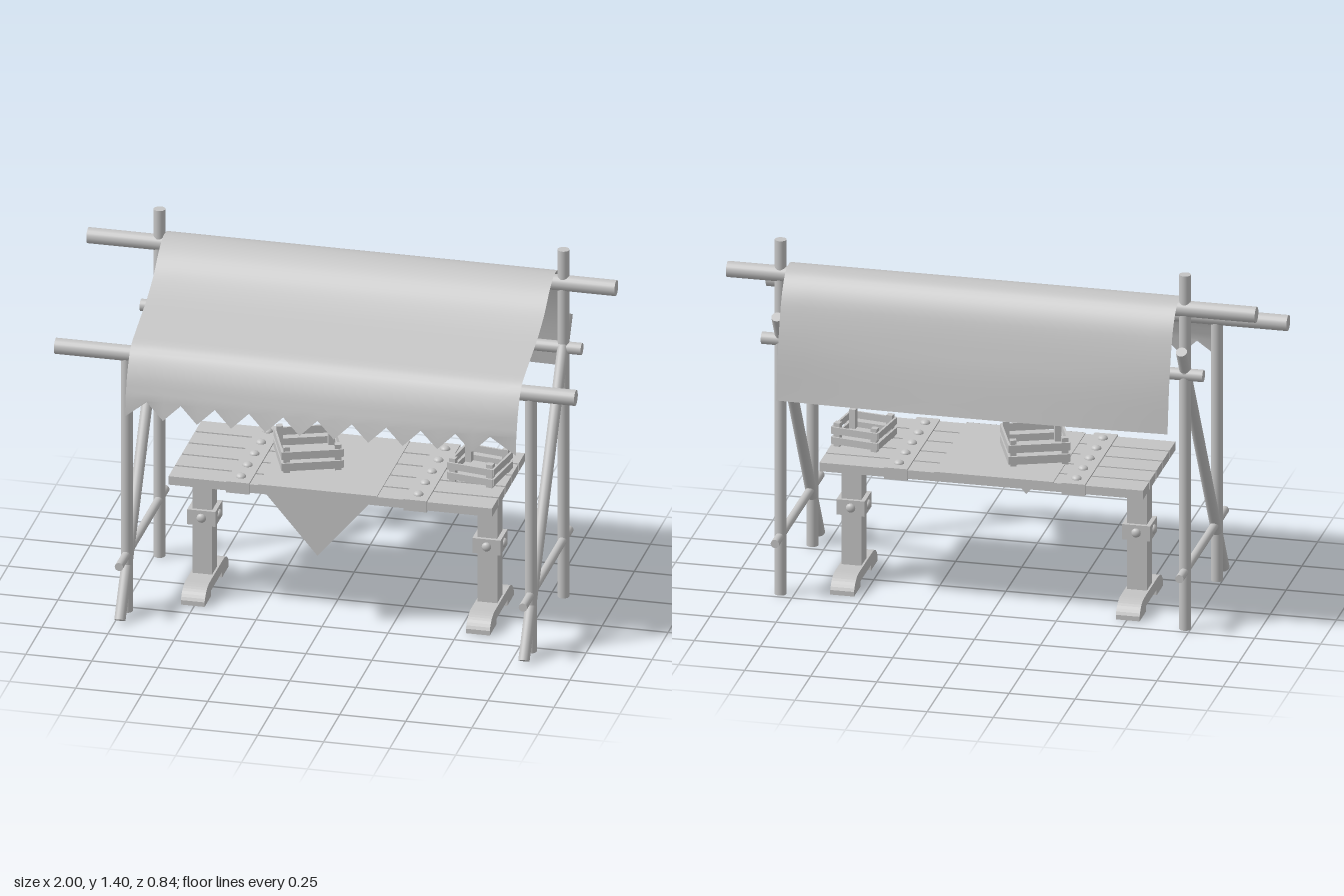
import * as THREE from 'three';

const plain = new THREE.MeshStandardMaterial({ color: 0xc4c4c4 });
plain.name = 'plain grey';
plain.side = THREE.DoubleSide;

function add(parent, geometry, name, x = 0, y = 0, z = 0) {
  const mesh = new THREE.Mesh(geometry, plain);
  mesh.name = name;
  mesh.position.set(x, y, z);
  parent.add(mesh);
  return mesh;
}
const box = (parent, name, w, h, d, x, y, z) => add(parent, new THREE.BoxGeometry(w, h, d), name, x, y, z);

// Round pole between two points
function pole(parent, name, from, to, r) {
  const a = new THREE.Vector3(...from), b = new THREE.Vector3(...to);
  const dir = b.clone().sub(a);
  const mesh = add(parent, new THREE.CylinderGeometry(r, r, dir.length(), 20), name);
  mesh.position.copy(a).lerp(b, 0.5);
  mesh.quaternion.setFromUnitVectors(new THREE.Vector3(0, 1, 0), dir.normalize());
}

// Low domed rivet, pointing along +y before rotation
function rivet(parent, r, x, y, z) {
  const geo = new THREE.SphereGeometry(r, 14, 5, 0, Math.PI * 2, 0, Math.PI / 2);
  geo.scale(1, 0.7, 1);
  return add(parent, geo, 'rivet', x, y, z);
}

function frame() {
  const g = new THREE.Group();
  g.name = 'poleFrame';
  for (const x of [-0.73, 0.8]) {
    pole(g, 'frontPost', [x, 0.015, 0.285], [x, 1.05, 0.285], 0.022);
    pole(g, 'backPost', [x, 0.015, -0.22], [x, 1.415, -0.22], 0.022);
    pole(g, 'diagonalBrace', [x, 0.024, 0.395], [x, 1.13, -0.277], 0.021);
    pole(g, 'sideRail', [x, 0.245, 0.41], [x, 0.245, -0.31], 0.016);
  }
  pole(g, 'frontBeam', [-1, 1.055, 0.285], [0.97, 1.055, 0.285], 0.03);
  pole(g, 'ridgeBeam', [-1, 1.28, -0.22], [1, 1.28, -0.22], 0.03);
  pole(g, 'backRail', [-0.8, 1.02, -0.22], [0.87, 1.02, -0.22], 0.023);
  return g;
}

// Draped sheet swept along x, with a zigzag front hem
function canopy() {
  const profile = [
    [0.39, 0.92], [0.36, 1.015], [0.31, 1.09], [0.22, 1.125], [0.05, 1.178], [-0.05, 1.228],
    [-0.13, 1.288], [-0.2, 1.318], [-0.265, 1.308], [-0.32, 1.25], [-0.36, 1.15], [-0.39, 1.03], [-0.415, 0.855],
  ];
  const curve = new THREE.CatmullRomCurve3(profile.map(([z, y]) => new THREE.Vector3(0, y, z)));
  const line = curve.getPoints(48);
  const cols = 22, rows = line.length;
  const geo = new THREE.PlaneGeometry(1, 1, cols, rows);
  const pos = geo.attributes.position;
  for (let j = 0; j <= rows; j++) {
    for (let i = 0; i <= cols; i++) {
      const x = i === 0 ? -0.71 : i === cols ? 0.77 : -0.695 + 0.065 * i;
      const bow = 1 - ((x - 0.03) / 0.74) ** 2;
      let y, z;
      if (j === rows) {
        // hem: alternate tips and notches
        y = i % 2 ? 0.912 : 0.85;
        z = (i % 2 ? 0.385 : 0.398) + 0.018 * bow;
      } else {
        const p = line[rows - 1 - j];
        const drop = Math.max(0, (1.1 - p.y) / 0.25);
        y = p.y;
        z = p.z + Math.sign(p.z) * 0.014 * bow * drop;
      }
      pos.setXYZ(j * (cols + 1) + i, x, y, z);
    }
  }
  geo.computeVertexNormals();
  const g = new THREE.Group();
  g.name = 'canopy';
  add(g, geo, 'canopySheet');
  return g;
}

// Trestle leg with collar and arched foot
function leg(x) {
  const g = new THREE.Group();
  g.name = 'trestleLeg';
  box(g, 'legPost', 0.075, 0.46, 0.08, 0, 0.3, 0);
  box(g, 'legCollar', 0.107, 0.06, 0.107, 0, 0.31, 0);
  for (let k = 0; k < 4; k++) {
    const a = k * Math.PI / 2;
    const stud = rivet(g, 0.018, Math.sin(a) * 0.0535, 0.31, Math.cos(a) * 0.0535);
    stud.quaternion.setFromUnitVectors(new THREE.Vector3(0, 1, 0), new THREE.Vector3(Math.sin(a), 0, Math.cos(a)));
  }
  const s = new THREE.Shape();
  s.moveTo(-0.187, 0.015);
  s.lineTo(-0.085, 0.015);
  s.lineTo(-0.085, 0.037);
  s.lineTo(0.085, 0.037);
  s.lineTo(0.085, 0.015);
  s.lineTo(0.187, 0.015);
  s.lineTo(0.187, 0.033);
  s.quadraticCurveTo(0.165, 0.08, 0.105, 0.08);
  s.lineTo(-0.105, 0.08);
  s.quadraticCurveTo(-0.165, 0.08, -0.187, 0.033);
  const geo = new THREE.ExtrudeGeometry(s, { depth: 0.09, bevelEnabled: false, curveSegments: 8 });
  geo.translate(0, 0, -0.045);
  geo.rotateY(Math.PI / 2);
  add(g, geo, 'legFoot');
  g.position.x = x;
  return g;
}

function table() {
  const g = new THREE.Group();
  g.name = 'table';
  // Planks
  for (let k = -2; k <= 2; k++) box(g, 'plank', 1.225, 0.034, 0.094, 0.0325, 0.543, k * 0.104);
  // Riveted cross straps
  for (const x of [-0.317, 0.355]) {
    box(g, 'crossStrap', 0.088, 0.045, 0.524, x, 0.5435, 0);
    for (let k = -2; k <= 2; k++) rivet(g, 0.019, x, 0.566, k * 0.104);
  }
  g.add(leg(-0.505), leg(0.575));

  // Cloth over the middle, with a hanging point at the front
  box(g, 'clothTop', 0.45, 0.004, 0.514, -0.015, 0.562, 0);
  const flap = new THREE.Shape([[-0.24, 0.564], [-0.015, 0.3], [0.21, 0.564]].map(p => new THREE.Vector2(...p)));
  add(g, new THREE.ShapeGeometry(flap), 'clothFlap', 0, 0, 0.258);
  return g;
}

// Slatted open crate; half is its half width
function crate(half, height, x, z, turn) {
  const g = new THREE.Group();
  g.name = 'crate';
  const post = 0.024, inset = half - 0.008 - post / 2;
  box(g, 'crateFloor', half * 1.8, 0.01, half * 1.8, 0, 0.012, 0);
  for (const sx of [-1, 1]) for (const sz of [-1, 1])
    box(g, 'cratePost', post, height, post, sx * inset, height / 2, sz * inset);
  for (let k = 0; k < 4; k++) {
    const side = new THREE.Group();
    side.name = 'crateSide';
    side.rotation.y = k * Math.PI / 2;
    for (const y of [0.27, 0.7])
      box(side, 'crateSlat', half * 2 - 0.008, height * 0.29, 0.008, 0, height * y, half - 0.004);
    g.add(side);
  }
  g.position.set(x, 0.562, z);
  g.rotation.y = turn;
  return g;
}

export function createModel() {
  const model = new THREE.Group();
  model.name = 'marketStall';
  model.add(frame(), canopy(), table());
  model.add(crate(0.116, 0.104, -0.112, -0.003, 0.37));
  model.add(crate(0.094, 0.092, 0.533, -0.015, -0.16));
  return model;
}
